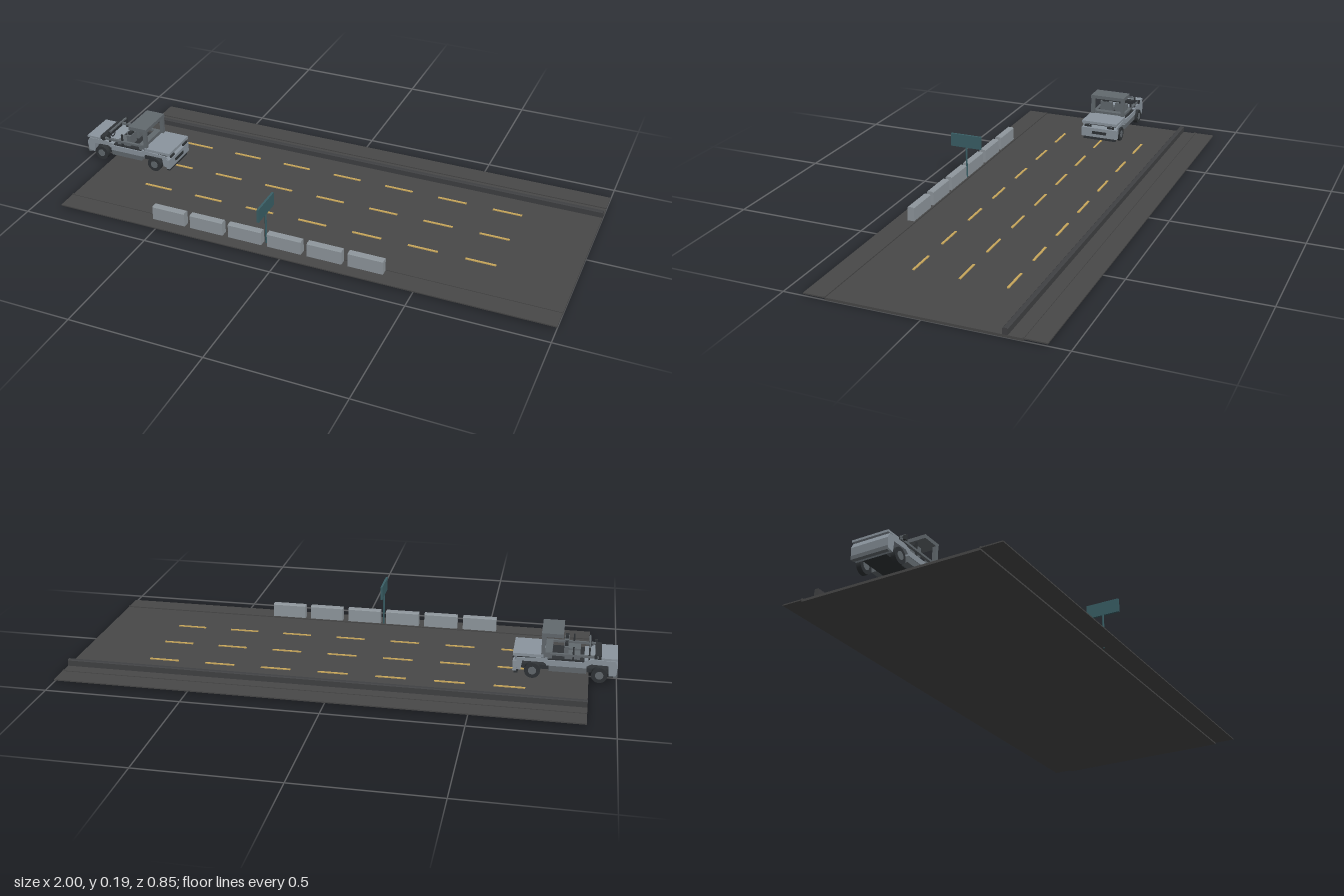
import * as THREE from 'three';

const material = (name, color) => Object.assign(new THREE.MeshStandardMaterial({ color }), { name });

export function createModel() {
  const model = new THREE.Group();
  model.name = 'highwaySection';
  const asphalt = material('asphalt', 0x484848);
  const railGrey = material('railGrey', 0x404143);
  const gold = material('laneGold', 0xcaa85c);
  const concrete = material('concrete', 0x8f979d);
  const teal = material('signTeal', 0x3a5f66);
  const paint = material('bodyPaint', 0x8b959e);
  const trim = material('trimGrey', 0x62696e);
  const dark = material('darkParts', 0x2f3336);

  const group = (name) => {
    const g = new THREE.Group();
    g.name = name;
    model.add(g);
    return g;
  };
  const add = (parent, name, geometry, mat, x = 0, y = 0, z = 0) => {
    const m = new THREE.Mesh(geometry, mat);
    m.name = name;
    m.position.set(x, y, z);
    parent.add(m);
    return m;
  };
  // Box given by its limits on each axis
  const box = (parent, name, mat, [x0, x1], [y0, y1], [z0, z1]) =>
    add(parent, name, new THREE.BoxGeometry(x1 - x0, y1 - y0, z1 - z0), mat,
      (x0 + x1) / 2, (y0 + y1) / 2, (z0 + z1) / 2);
  // Side outline in x and y, extruded across the vehicle
  const profile = (parent, name, mat, points, width, z = 0) => {
    const shape = new THREE.Shape(points.map(([x, y]) => new THREE.Vector2(x, y)));
    const geo = new THREE.ExtrudeGeometry(shape, { depth: width, bevelEnabled: false });
    return add(parent, name, geo.translate(0, 0, -width / 2), mat, 0, 0, z);
  };

  // Road slab, shoulders and lane dashes
  const road = group('road');
  const length = [-0.9, 1];
  box(road, 'roadSlab', asphalt, length, [0, 0.009], [-0.345, 0.345]);
  for (const s of [-1, 1]) {
    const z = s * 0.385;
    box(road, 'shoulder', asphalt, length, [0.006, 0.0105], [z - 0.04, z + 0.04]);
    box(road, 'shoulderEdge', asphalt, length, [0.009, 0.013], [s * 0.345 - 0.003, s * 0.345 + 0.003]);
  }
  for (const z of [-0.173, 0, 0.172]) {
    for (let i = 0; i < 7; i++) {
      const x = -0.68 + i * 0.215;
      box(road, 'laneDash', gold, [x, x + 0.112], [0.009, 0.0125], [z - 0.004, z + 0.004]);
    }
  }

  // Long kerb rail with softened top edges
  const railShape = new THREE.Shape([[-0.009, 0.009], [0.009, 0.009], [0.009, 0.03], [0.006, 0.033],
    [-0.006, 0.033], [-0.009, 0.03]].map(([x, y]) => new THREE.Vector2(x, y)));
  const rail = add(model, 'kerbRail',
    new THREE.ExtrudeGeometry(railShape, { depth: 1.9, bevelEnabled: false }), railGrey, -0.9, 0, -0.285);
  rail.rotation.y = Math.PI / 2;

  // Row of concrete barriers
  const barriers = group('barriers');
  const barrierShape = new THREE.Shape([[-0.014, 0.009], [0.014, 0.009], [0.013, 0.061], [0.01, 0.065],
    [-0.01, 0.065], [-0.013, 0.061]].map(([x, y]) => new THREE.Vector2(x, y)));
  const barrierGeo = new THREE.ExtrudeGeometry(barrierShape, { depth: 0.132, bevelEnabled: false });
  for (let i = 0; i < 6; i++) {
    add(barriers, 'barrier', barrierGeo, concrete, -0.532 + i * 0.155, 0, 0.363).rotation.y = Math.PI / 2;
  }

  // Road sign facing along the lanes
  const sign = group('roadSign');
  add(sign, 'signPole', new THREE.CylinderGeometry(0.0038, 0.0038, 0.15, 10), teal, -0.08, 0.08, 0.354);
  box(sign, 'signPanel', teal, [-0.084, -0.076], [0.135, 0.187], [0.29, 0.418]);

  // Vehicle: open truck pointing along +x
  const truck = group('truck');
  truck.position.z = -0.002;
  box(truck, 'chassis', dark, [-0.97, -0.65], [0.036, 0.052], [-0.045, 0.045]);
  box(truck, 'sill', trim, [-0.89, -0.755], [0.04, 0.066], [-0.07, 0.07]);
  box(truck, 'midBody', paint, [-0.89, -0.745], [0.062, 0.083], [-0.073, 0.073]);
  box(truck, 'cabinFloor', dark, [-0.935, -0.74], [0.083, 0.088], [-0.068, 0.068]);

  // Sloping nose and rear box, notched over the wheels
  profile(truck, 'nose', paint, [[-0.75, 0.066], [-0.735, 0.075], [-0.66, 0.075], [-0.655, 0.04],
    [-0.634, 0.04], [-0.628, 0.06], [-0.632, 0.075], [-0.64, 0.085], [-0.75, 0.092]], 0.15);
  box(truck, 'hoodDeck', paint, [-0.735, -0.625], [0.093, 0.104], [-0.077, 0.077]);
  box(truck, 'hoodSeam', dark, [-0.735, -0.64], [0.083, 0.095], [-0.07, 0.07]);
  profile(truck, 'rearBox', paint, [[-0.995, 0.04], [-0.97, 0.036], [-0.966, 0.076], [-0.905, 0.078],
    [-0.88, 0.062], [-0.88, 0.09], [-0.915, 0.097], [-0.99, 0.094], [-1, 0.075]], 0.142);
  box(truck, 'rearDeck', paint, [-0.998, -0.94], [0.096, 0.104], [-0.07, 0.07]);
  box(truck, 'frontPanel', paint, [-0.64, -0.626], [0.036, 0.075], [-0.079, 0.079]);
  box(truck, 'grille', dark, [-0.627, -0.624], [0.05, 0.062], [-0.032, 0.032]);
  box(truck, 'frontBumper', dark, [-0.645, -0.63], [0.024, 0.037], [-0.07, 0.07]);
  box(truck, 'rearBumper', trim, [-1, -0.985], [0.032, 0.046], [-0.07, 0.07]);

  // Cabin dashboard, rails and canopy
  box(truck, 'dashboard', dark, [-0.94, -0.918], [0.088, 0.112], [-0.066, 0.066]);
  box(truck, 'cabinBack', trim, [-0.765, -0.74], [0.086, 0.112], [-0.068, 0.068]);
  box(truck, 'crossBar', trim, [-0.9, -0.894], [0.132, 0.138], [-0.064, 0.064]);
  box(truck, 'canopyRoof', trim, [-0.802, -0.724], [0.172, 0.186], [-0.073, 0.073]);
  for (const s of [-1, 1]) {
    const z = s * 0.066;
    box(truck, 'canopyPost', trim, [-0.74, -0.726], [0.09, 0.174], [z - 0.007, z + 0.007]);
    box(truck, 'sideRail', trim, [-0.93, -0.735], [0.102, 0.11], [z - 0.005, z + 0.005]);
    for (const x of [-0.897, -0.84]) {
      box(truck, 'railPost', dark, [x - 0.003, x + 0.003], [0.085, 0.138], [z - 0.003, z + 0.003]);
    }
    box(truck, 'mirror', dark, [-0.925, -0.915], [0.103, 0.118], [s * 0.077 - 0.004, s * 0.077 + 0.004]);
    box(truck, 'seatCushion', trim, [-0.865, -0.81], [0.088, 0.103], [s * 0.034 - 0.026, s * 0.034 + 0.026]);
    box(truck, 'seatBack', trim, [-0.822, -0.806], [0.1, 0.134], [s * 0.034 - 0.026, s * 0.034 + 0.026]);
    box(truck, 'headrest', dark, [-0.82, -0.808], [0.134, 0.145], [s * 0.037 - 0.013, s * 0.037 + 0.013]);
    box(truck, 'headlight', dark, [-0.63, -0.6245], [0.08, 0.088], [s * 0.05 - 0.015, s * 0.05 + 0.015]);

    // Wheels with pale hubs
    for (const x of [-0.936, -0.697]) {
      add(truck, 'tyre', new THREE.CylinderGeometry(0.029, 0.029, 0.018, 24), dark, x, 0.039, z)
        .rotation.x = Math.PI / 2;
      add(truck, 'hub', new THREE.CylinderGeometry(0.015, 0.015, 0.021, 16), trim, x, 0.039, z)
        .rotation.x = Math.PI / 2;
    }
  }
  const wheel = add(truck, 'steeringWheel', new THREE.TorusGeometry(0.014, 0.002, 8, 20), dark, -0.9, 0.118, 0.034);
  wheel.rotation.y = Math.PI / 2;
  return model;
}
